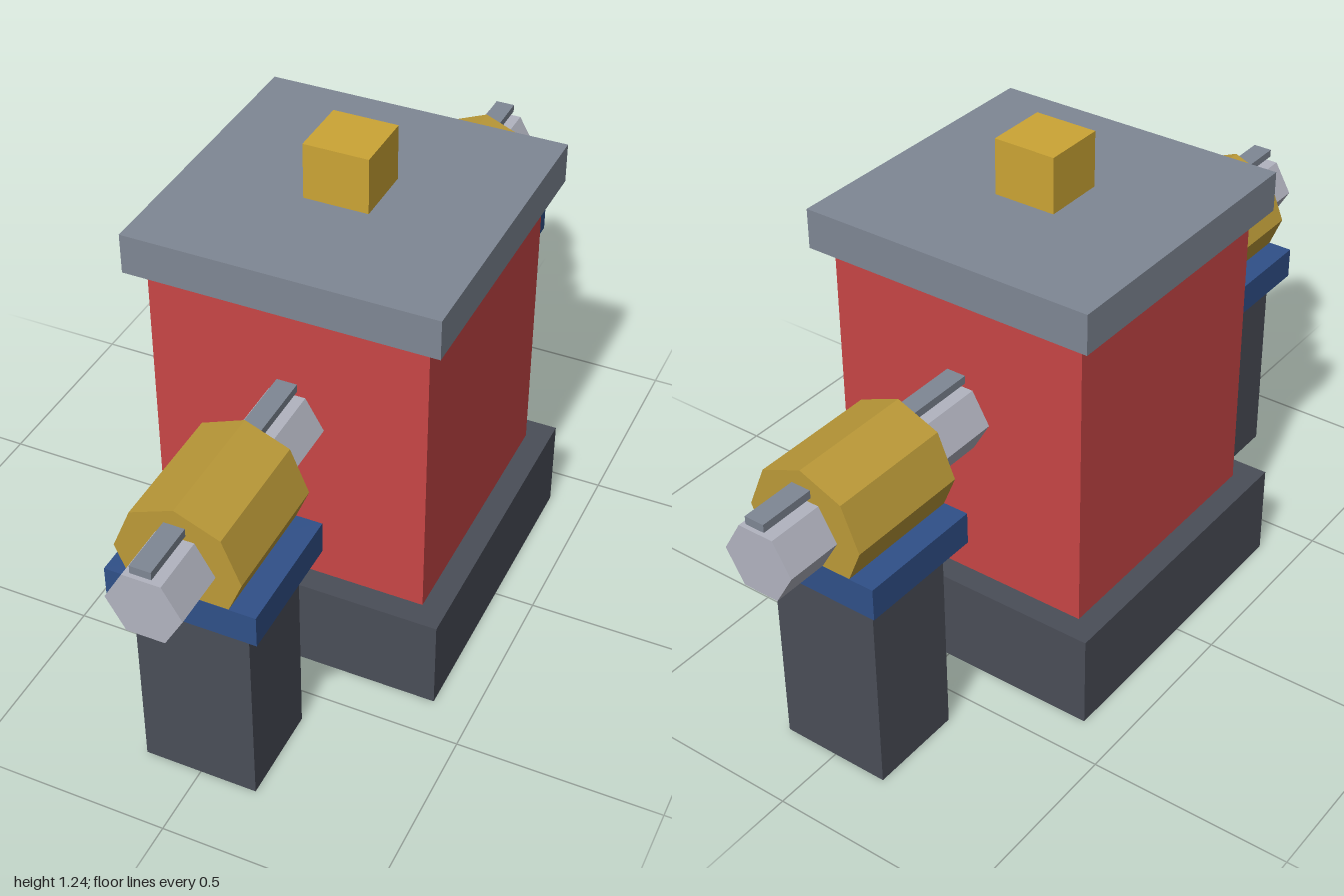
import * as THREE from 'three';

const material = (name, color) => {
  const m = new THREE.MeshStandardMaterial({ color, flatShading: true });
  m.name = name;
  return m;
};

export function createModel() {
  const model = new THREE.Group();
  model.name = 'pumpHousing';

  const iron = material('dark iron', 0x4a4e58);
  const red = material('red paint', 0xc84646);
  const steel = material('grey steel', 0x7f8794);
  const brass = material('bright brass', 0xcca535);
  const bronze = material('bronze', 0xbc9a38);
  const blue = material('blue paint', 0x305088);
  const silver = material('light steel', 0xb2b4c0);

  const add = (name, geometry, mat, y, z = 0, parent = model) => {
    const mesh = new THREE.Mesh(geometry, mat);
    mesh.name = name;
    mesh.position.set(0, y, z);
    parent.add(mesh);
    return mesh;
  };

  // Box resting on height y0
  const box = (name, w, y0, y1, d, mat, z, parent) =>
    add(name, new THREE.BoxGeometry(w, y1 - y0, d), mat, (y0 + y1) / 2, z, parent);

  // Faceted bar lying along z; turn rotates its corners
  const bar = (name, radius, length, sides, turn, mat, y, z, parent) => {
    const g = new THREE.CylinderGeometry(radius, radius, length, sides);
    g.rotateY(turn).rotateX(Math.PI / 2);
    return add(name, g, mat, y, z, parent);
  };

  // Central housing
  box('base', 0.8, 0, 0.24, 0.8, iron);
  box('body', 0.68, 0.24, 1, 0.68, red);
  box('lid', 0.76, 1, 1.1, 0.76, steel);
  box('lidKnob', 0.16, 1.1, 1.24, 0.16, brass);

  // Hexagonal shaft through the housing, with a key strip above it
  bar('shaft', 0.09, 2, 6, Math.PI / 2, silver, 0.68);
  box('shaftKey', 0.05, 0.77, 0.79, 2, steel);

  // Front and back bearing stands
  for (const [side, z] of [['front', 0.7], ['back', -0.7]]) {
    const stand = new THREE.Group();
    stand.name = side + 'Stand';
    model.add(stand);
    box('pedestal', 0.28, 0, 0.52, 0.24, iron, z, stand);
    box('saddle', 0.36, 0.52, 0.6, 0.32, blue, z, stand);
    bar('bearing', 0.15, 0.318, 8, 0, bronze, 0.68, z, stand);
  }

  return model;
}
